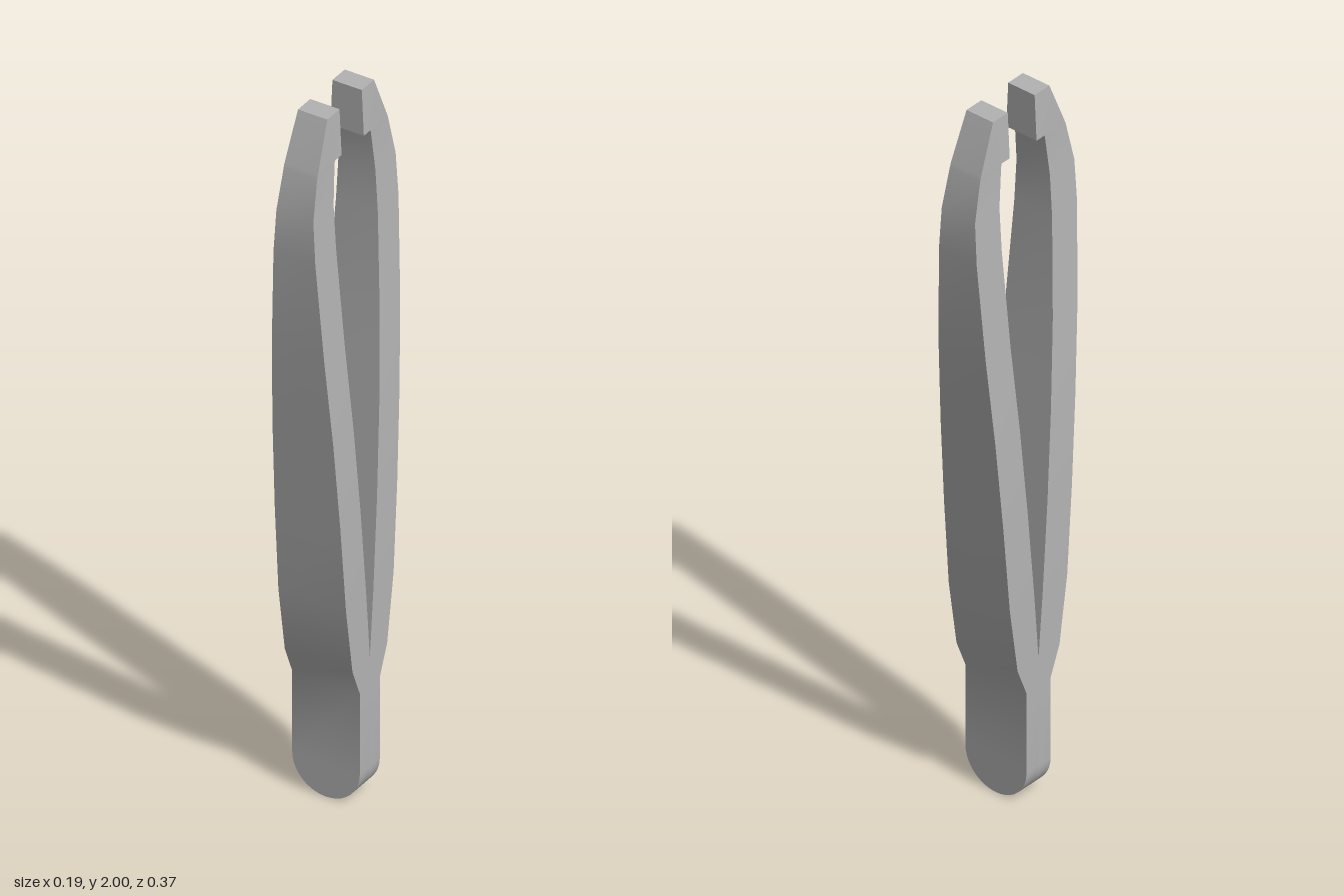
import * as THREE from 'three';
import { toCreasedNormals } from 'three/addons/utils/BufferGeometryUtils.js';

// One tweezer arm: rectangular sections [y, half width, outer z, inner z], bottom to top
function armGeometry() {
  const rows = [];
  // rounded foot
  const r = 0.097, steps = 10;
  for (let i = 0; i <= steps; i++) {
    const a = (i / steps) * Math.PI / 2;
    rows.push([r * (1 - Math.cos(a)), r * Math.sin(a), 0.045, 0]);
  }
  // shank, bowed blade and stepped gripping tip
  rows.push(
    [0.33, 0.097, 0.045, 0],
    [0.41, 0.097, 0.078, 0],
    [0.60, 0.097, 0.107, 0.016],
    [0.85, 0.094, 0.128, 0.037],
    [1.10, 0.087, 0.149, 0.058],
    [1.35, 0.075, 0.171, 0.079],
    [1.63, 0.060, 0.187, 0.094],
    [1.75, 0.053, 0.185, 0.094],
    [1.86, 0.048, 0.160, 0.082],
    [1.87, 0.048, 0.157, 0.080],
    [1.87, 0.048, 0.157, 0.050],
    [2.00, 0.042, 0.105, 0.050],
  );
  const loops = rows.map(([y, w, zo, zi]) =>
    [[-w, y, zo], [w, y, zo], [w, y, zi], [-w, y, zi]]);
  const pos = [];
  const quad = (a, b, c, d) => pos.push(...a, ...b, ...c, ...a, ...c, ...d);
  for (let i = 0; i < loops.length - 1; i++) {
    const lo = loops[i], hi = loops[i + 1];
    const step = rows[i][0] === rows[i + 1][0];
    const joined = rows[i][3] === 0 && rows[i + 1][3] === 0;
    for (let k = 0; k < 4; k++) {
      if (step && k !== 2) continue;   // the step is only an inner ledge
      if (joined && k === 2) continue; // the arms are fused here
      const n = (k + 1) % 4;
      quad(lo[k], lo[n], hi[n], hi[k]);
    }
  }
  quad(...loops[loops.length - 1]); // tip end
  const g = new THREE.BufferGeometry();
  g.setAttribute('position', new THREE.Float32BufferAttribute(pos, 3));
  return toCreasedNormals(g, 0.6);
}

export function createModel() {
  const group = new THREE.Group();
  group.name = 'tweezers';
  const steel = new THREE.MeshStandardMaterial({ color: 0xb3b3b3 });
  steel.name = 'steel grey';
  const geometry = armGeometry();
  ['frontArm', 'backArm'].forEach((name, i) => {
    const arm = new THREE.Mesh(geometry, steel);
    arm.name = name;
    arm.rotation.y = i * Math.PI;
    group.add(arm);
  });
  return group;
}
